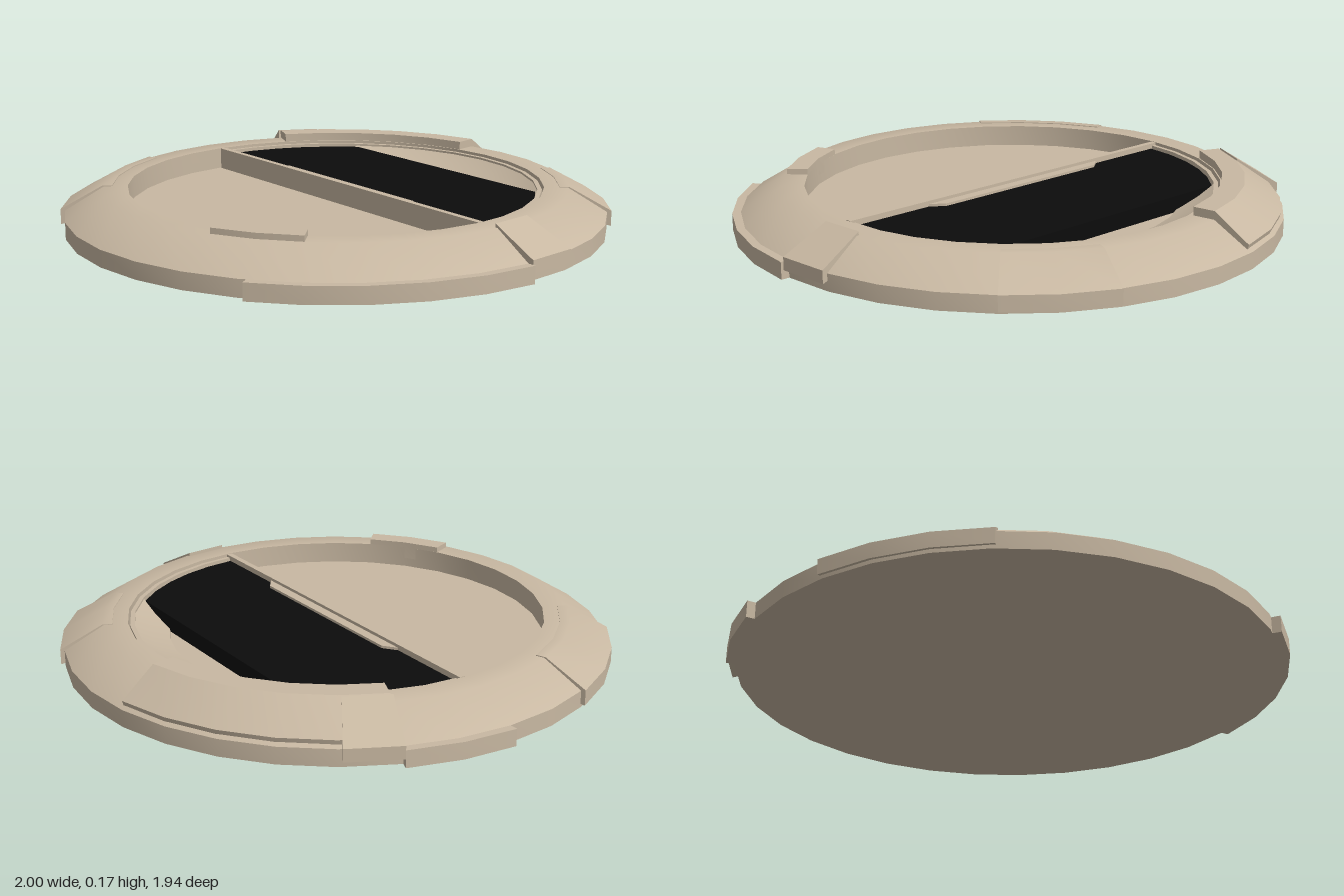
import * as THREE from 'three';
import { mergeGeometries, toCreasedNormals } from 'three/addons/utils/BufferGeometryUtils.js';

const shell = new THREE.MeshStandardMaterial({ color: 0xc8b8a2, side: THREE.DoubleSide });
const dark = new THREE.MeshStandardMaterial({ color: 0x0c0c0c });
const rad = THREE.MathUtils.degToRad;

// Closed [radius, height] profile swept from angle a to b (degrees, 0 = front, 90 = +x)
function sweep(profile, a, b) {
  const points = profile.map(([r, y]) => new THREE.Vector2(r, y));
  const full = b - a >= 360;
  const steps = Math.max(1, Math.round((b - a) / 11.25));
  const parts = [new THREE.LatheGeometry([...points, points[0].clone()], steps, rad(a), rad(b - a))];
  if (!full) {
    for (const angle of [a, b]) {
      const cap = new THREE.ShapeGeometry(new THREE.Shape(points));
      parts.push(cap.rotateY(rad(angle - 90)));
    }
  }
  return toCreasedNormals(mergeGeometries(parts), 0.6);
}

export function createModel() {
  const model = new THREE.Group();
  const add = (name, geometry, material = shell) => {
    const mesh = new THREE.Mesh(geometry, material);
    mesh.name = name;
    model.add(mesh);
    return mesh;
  };

  // Bevelled outer ring
  add('outerRing', sweep(
    [[0.745, 0], [0.97, 0], [0.97, 0.06], [0.83, 0.145], [0.745, 0.145]], 0, 360));

  // Sunken inner plate
  add('innerPlate', new THREE.CylinderGeometry(0.746, 0.746, 0.066, 32).translate(0, 0.033, 0));

  // Cross wall and its tapered lip
  add('crossWall', new THREE.BoxGeometry(1.48, 0.085, 0.022).translate(0, 0.1025, -0.011));
  const lip = new THREE.Shape([[-0.41, 0.02], [0.41, 0.02], [0.36, 0.057], [-0.36, 0.057]]
    .map(([x, y]) => new THREE.Vector2(x, y)));
  add('wallLip', new THREE.ExtrudeGeometry(lip, { depth: 0.07, bevelEnabled: false })
    .rotateX(-Math.PI / 2).translate(0, 0.064, 0));

  // Dark window: a half disc cut off by a straight back edge
  const r = 0.715, start = Math.asin(0.02 / r), end = Math.asin(0.51 / r);
  const outline = [];
  for (let i = 0; i <= 5; i++) {
    const t = start + (end - start) * i / 5;
    outline.push(new THREE.Vector2(r * Math.cos(t), r * Math.sin(t)));
  }
  const mirrored = outline.map(p => new THREE.Vector2(-p.x, p.y)).reverse();
  add('window', new THREE.ExtrudeGeometry(new THREE.Shape([...outline, ...mirrored]),
    { depth: 0.062, bevelEnabled: false }).rotateX(-Math.PI / 2).translate(0, 0.063, 0), dark);

  // Rim around the window and the scooped bay behind it
  add('windowRim', sweep([[0.722, 0.06], [0.738, 0.06], [0.738, 0.136], [0.722, 0.136]], 90, 270));
  add('backScoop', sweep([[0.6, 0.06], [0.725, 0.06], [0.725, 0.13], [0.67, 0.1], [0.6, 0.075]], 135, 225));

  // Armour plates over the ring: profile, start angle, end angle
  const slope = (h, out) => [[0.8, 0.05], [out, 0.01], [out, 0.065], [0.835, h], [0.8, h]];
  const low = [[0.9, 0], [1, 0], [1, 0.06], [0.9, 0.06]];
  const plates = [
    ['backPlate', [[0.75, 0.1], [0.95, 0.05], [0.96, 0.085], [0.83, 0.175], [0.75, 0.175]], 190.5, 247.5],
    ['frontBlock', [[0.745, 0.1], [0.82, 0.1], [0.82, 0.165], [0.745, 0.165]], 23, 45],
    ['leftSlab', [[0.82, 0.07], [0.99, 0.03], [0.99, 0.075], [0.82, 0.158]], 90, 101],
    ['rightSlab', [[0.82, 0.07], [1, 0.03], [1, 0.075], [0.84, 0.175]], 237, 248],
    ['backSlopePlate', slope(0.147, 0.985), 135, 157.5],
    ['frontSlopePlate', slope(0.148, 0.985), 292, 327],
    ['frontRimGuard', low, 35.5, 90],
    ['sideRimGuard', low, 248, 270],
  ];
  for (const [name, profile, a, b] of plates) add(name, sweep(profile, a, b));

  return model;
}
